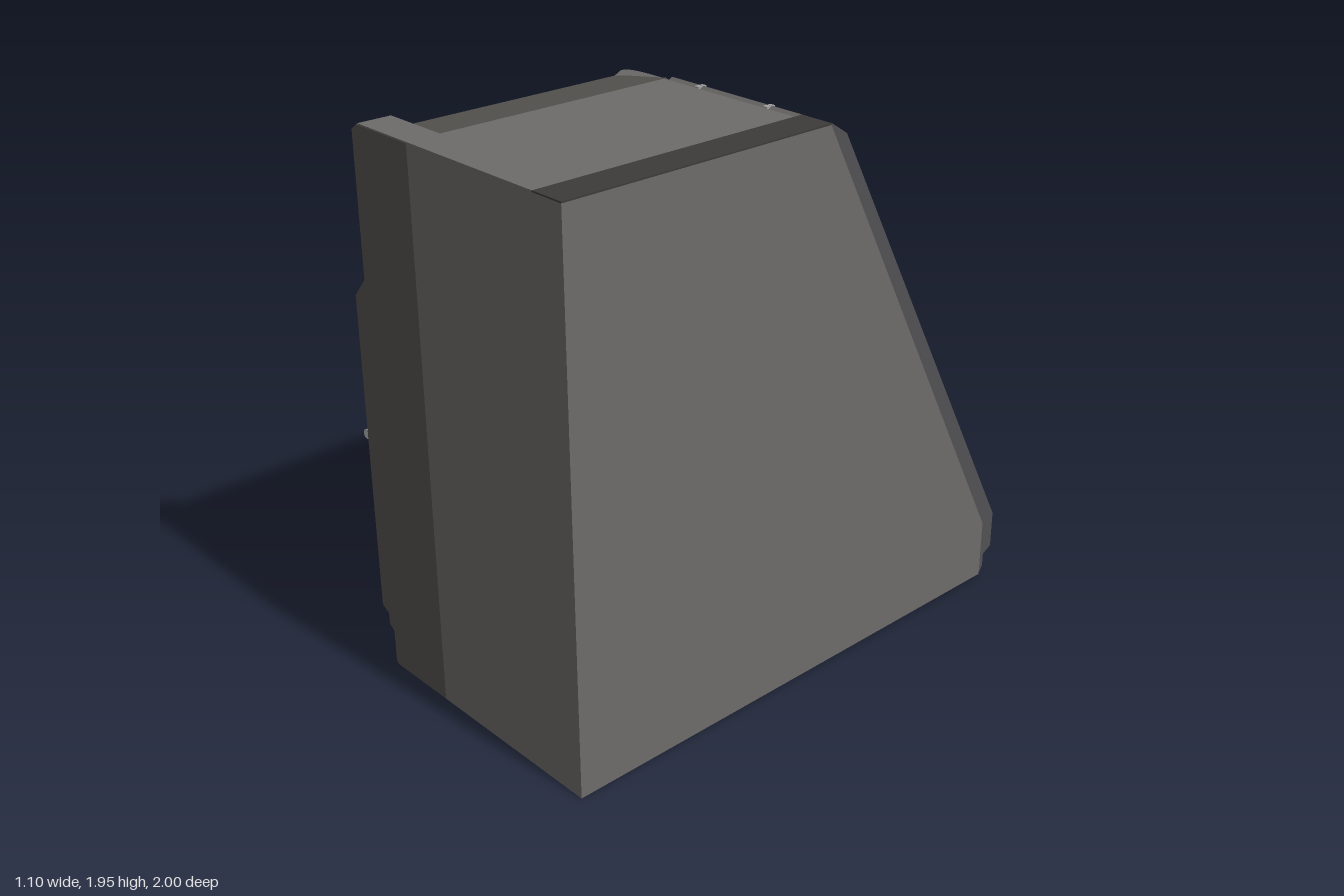
import * as THREE from 'three';
import { toCreasedNormals } from 'three/addons/utils/BufferGeometryUtils.js';

const A = 0.8866, B = 0.4625, L = 1.945; // slope direction (y, z) and its length

// part colours; everything else is the base grey
const BASE = 0x6d6c6a, DARK = 0x54534f, BLACK = 0x3c3b3a, PANE = 0x86857f, LIGHT = 0xe4e4e4;
const tint = {
  doorSideBody: PANE, doorLowerPanel: 0xa8a7a2, doorFrame: DARK, doorSideWall: 0x646361, doorBand: 0x5e5d5b,
  roofEdge: DARK, cornerFrame: DARK, edgeStrip: DARK, roofStrip: BLACK, stripCore: 0xa0a0a0, handleBar: 0xb0b0b0,
  postLip: 0x515255, postChannel: 0x595b5e, windowFrame: 0x666563, headerPanel: 0x50504e, upperLedge: 0x58585a,
  lowerLedge: 0x505052, windowPane: 0x69686a, accessCover: 0x636264, windowRail: BLACK, apron: 0x585755,
  apronStrip: DARK, sill: DARK, sillStrip: DARK, grabRail: BLACK, bracket: BLACK, doorHeader: BLACK,
  windowCatch: LIGHT, windowHinge: LIGHT, doorWindowCatch: 0xffffff, sidePlate: 0xffffff, apronPlate: LIGHT,
  coverBolt: 0xb0b0b0, roofClip: 0xa0a0a0,
};

export function createModel() {
  const root = new THREE.Group();
  root.name = 'cab';

  const materials = {};
  const add = (name, geo, parent = root) => {
    const color = tint[name] ?? BASE;
    materials[color] ??= new THREE.MeshStandardMaterial({ color });
    const m = new THREE.Mesh(geo, materials[color]);
    m.name = name;
    parent.add(m);
  };
  const poly = (pts, holes = []) => {
    const s = new THREE.Shape(pts.map(p => new THREE.Vector2(...p)));
    holes.forEach(h => s.holes.push(new THREE.Path(h.map(p => new THREE.Vector2(...p)))));
    return s;
  };
  const rect = (a0, b0, a1, b1) => [[a0, b0], [a1, b0], [a1, b1], [a0, b1]];
  const extrude = (shape, depth) => new THREE.ExtrudeGeometry(shape, { depth, bevelEnabled: false, curveSegments: 16 });
  // box from its limits
  const box = (name, x0, x1, y0, y1, z0, z1, parent = root) => {
    const g = new THREE.BoxGeometry(x1 - x0, y1 - y0, z1 - z0);
    add(name, g.translate((x0 + x1) / 2, (y0 + y1) / 2, (z0 + z1) / 2), parent);
  };
  // profile in (z, y) spanning x0..x1
  const side = (name, pts, x0, x1, holes) =>
    add(name, extrude(poly(pts, holes), x1 - x0).rotateY(-Math.PI / 2).translate(x1, 0, 0));
  // profile in (x, y) spanning z0..z1
  const across = (name, pts, z0, z1) =>
    add(name, extrude(poly(pts), z1 - z0).translate(0, 0, z0));

  // solid core behind the frames
  side('mainBody', [[1, 0], [1, 1.945], [-0.006, 1.945], [-0.9, 0.22], [-0.9, 0]], -0.17, 0.42);
  side('doorSideBody', [[0.9, 0], [0.9, 1.88], [0.01, 1.88], [-0.87, 0.22], [-0.87, 0]], -0.39, -0.17);
  side('closedWall', [[1, 0], [1, 1.94], [-0.038, 1.94], [-0.94, 0.22], [-0.94, 0]], 0.42, 0.545);
  box('roofStrip', 0.42, 0.545, 1.94, 1.945, -0.04, 1);

  // roof edge, sloping down to the door side
  across('roofEdge', [[-0.17, 1.945], [-0.42, 1.905], [-0.42, 1.88], [-0.17, 1.88]], -0.02, 0.88);

  // corner frame with its chamfered top
  across('cornerFrame', [[-0.17, 0], [-0.17, 1.94], [-0.432, 1.94], [-0.46, 1.92], [-0.46, 0.01], [-0.45, 0]], 0.88, 1);
  box('cornerCap', -0.425, -0.17, 1.94, 1.945, 0.88, 1);

  // channel-shaped post beside the sloped window
  const post = d => [[-0.03, 1.938], [-0.044, 1.943], [-0.11 + d, 1.9], [-1 + d, 0.24], [-1 + d, 0.1],
    [-0.96, 0.08], [-0.96, 0.03], [-0.94, 0], [-0.92, 0], [-0.92, 0.22]];
  side('postLip', post(0), 0.42, 0.445);
  side('postChannel', post(0.018), 0.445, 0.52);
  side('postLip', post(0), 0.52, 0.543);

  // door-side wall with recesses for the door and the quarter panel
  side('doorSideWall',
    [[0.89, 0], [0.89, 1.9], [-0.03, 1.9], [-0.905, 0.22], [-0.92, 0.2], [-0.92, 0]], -0.42, -0.385,
    [rect(0.2, 0.16, 0.76, 1.73), [[-0.52, 0.56], [0.1, 0.56], [0.1, 1.72], [0.04, 1.72]]]);
  side('doorFrame', rect(0.2, 0.16, 0.76, 1.73), -0.405, -0.38, [rect(0.25, 0.8, 0.72, 1.68), rect(0.3, 0.2, 0.7, 0.46)]);
  box('doorBand', -0.412, -0.4, 0.47, 0.76, 0.22, 0.74);
  box('doorLowerPanel', -0.402, -0.38, 0.2, 0.46, 0.3, 0.7);
  box('sidePanel', -0.426, -0.41, 0.18, 0.53, -0.52, 0.1);
  box('sidePlate', -0.432, -0.42, 0.22, 0.29, -0.34, -0.15);
  box('doorHeader', -0.43, -0.415, 1.75, 1.78, 0.1, 0.85);
  [0.81, 1.65].forEach(y => box('doorWindowCatch', -0.412, -0.39, y, y + 0.014, 0.3, 0.66));
  box('sill', -0.428, -0.4, 0, 0.05, -0.93, 0.9);
  box('sillStrip', -0.432, -0.4, 0.075, 0.1, -0.93, 0.9);

  // grab rails on both sides of the door
  [[0.15, 0.15, 1.59], [0.75, 0.38, 1.71]].forEach(([z, y0, y1]) => {
    add('grabRail', new THREE.CylinderGeometry(0.011, 0.011, y1 - y0, 10).translate(-0.437, (y0 + y1) / 2, z));
    [y0, (y0 + y1) / 2, y1 - 0.03].forEach(y => box('bracket', -0.445, -0.41, y, y + 0.03, z - 0.02, z + 0.02));
  });

  // coupling strip on the corner frame
  const strip = [[-0.45, 0.13], [-0.45, 1.44], [-0.46, 1.43], [-0.52, 1.36], [-0.52, 0.21], [-0.485, 0.19], [-0.485, 0.15], [-0.46, 0.13]];
  across('edgeStrip', strip, 0.885, 0.905);
  across('edgeStrip', strip, 0.98, 1);
  box('stripCore', -0.49, -0.45, 0.2, 1.36, 0.9, 0.985);
  box('handleBase', -0.535, -0.48, 0.835, 0.885, 0.91, 0.975);
  add('handleBar', new THREE.CylinderGeometry(0.017, 0.017, 0.11, 12).rotateX(Math.PI / 2).translate(-0.533, 0.86, 0.942));

  // lower apron under the slope
  box('apron', -0.42, 0.42, 0, 0.22, -0.94, -0.86);
  box('apronStrip', -0.425, 0.42, 0.07, 0.09, -0.947, -0.9);
  box('apronPlate', 0.04, 0.23, 0.12, 0.19, -0.95, -0.93);

  // sloped face: local x = -x, local y runs up the slope, local z points outward
  const slope = new THREE.Group();
  slope.name = 'slopedFace';
  slope.matrix.makeBasis(new THREE.Vector3(-1, 0, 0), new THREE.Vector3(0, A, B), new THREE.Vector3(0, B, -A));
  slope.matrix.setPosition(0, 0.22, -0.94);
  slope.matrix.decompose(slope.position, slope.quaternion, slope.scale);
  root.add(slope);
  const onSlope = (name, x0, x1, z0, z1, n0, n1) =>
    box(name, -x1, -x0, (z0 + 0.94) / B, (z1 + 0.94) / B, n0, n1, slope);

  // window, its surround and the panels above and below it
  add('windowFrame', extrude(poly(rect(-0.42, 0, 0.17, L), [rect(-0.41, 0.476, 0.165, 1.686)]), 0.04).translate(0, 0, -0.04), slope);
  onSlope('windowPane', -0.165, 0.41, -0.72, -0.16, -0.04, -0.022);
  onSlope('headerPanel', -0.17, 0.42, -0.11, -0.042, -0.02, 0.004);
  onSlope('upperLedge', -0.17, 0.42, -0.16, -0.125, -0.02, 0.008);
  onSlope('upperLedge', -0.17, 0.42, -0.12, -0.11, -0.02, 0.012);
  onSlope('lowerLedge', -0.17, 0.42, -0.745, -0.73, -0.02, 0.012);
  onSlope('lowerLedge', -0.17, 0.42, -0.78, -0.76, -0.02, 0.014);
  onSlope('accessCover', -0.07, 0.33, -0.935, -0.79, -0.01, 0.006);
  [-0.15, -0.1, 0.35, 0.4].forEach(x =>
    [-0.885, -0.81].forEach(z => onSlope('coverBolt', x - 0.007, x + 0.007, z - 0.006, z + 0.006, -0.01, 0.01)));
  onSlope('windowCatch', 0.08, 0.15, -0.715, -0.705, -0.03, -0.008);
  onSlope('windowCatch', -0.05, 0.25, -0.176, -0.168, -0.03, -0.012);
  [-0.6, -0.2].forEach(z => onSlope('windowHinge', -0.17, -0.152, z - 0.015, z + 0.015, -0.03, 0.006));
  onSlope('windowRail', 0.4, 0.42, -0.58, -0.29, -0.02, 0.012);
  [-0.03, 0.28].forEach(x => box('roofClip', x - 0.01, x + 0.01, 1.92, 1.944, -0.055, -0.02));
  box('roofClip', -0.15, -0.11, 1.84, 1.87, -0.1, -0.05);

  // softly rounded corner pillar
  const section = new THREE.Shape();
  section.moveTo(0.17, 0.08);
  section.lineTo(0.42, 0.08);
  section.lineTo(0.42, 0.022);
  section.bezierCurveTo(0.415, -0.002, 0.34, -0.004, 0.17, -0.002);
  section.closePath();
  const pillar = extrude(section, L - 0.02).rotateX(-Math.PI / 2);
  add('cornerPillar', toCreasedNormals(pillar, 0.7), slope);

  return root;
}
